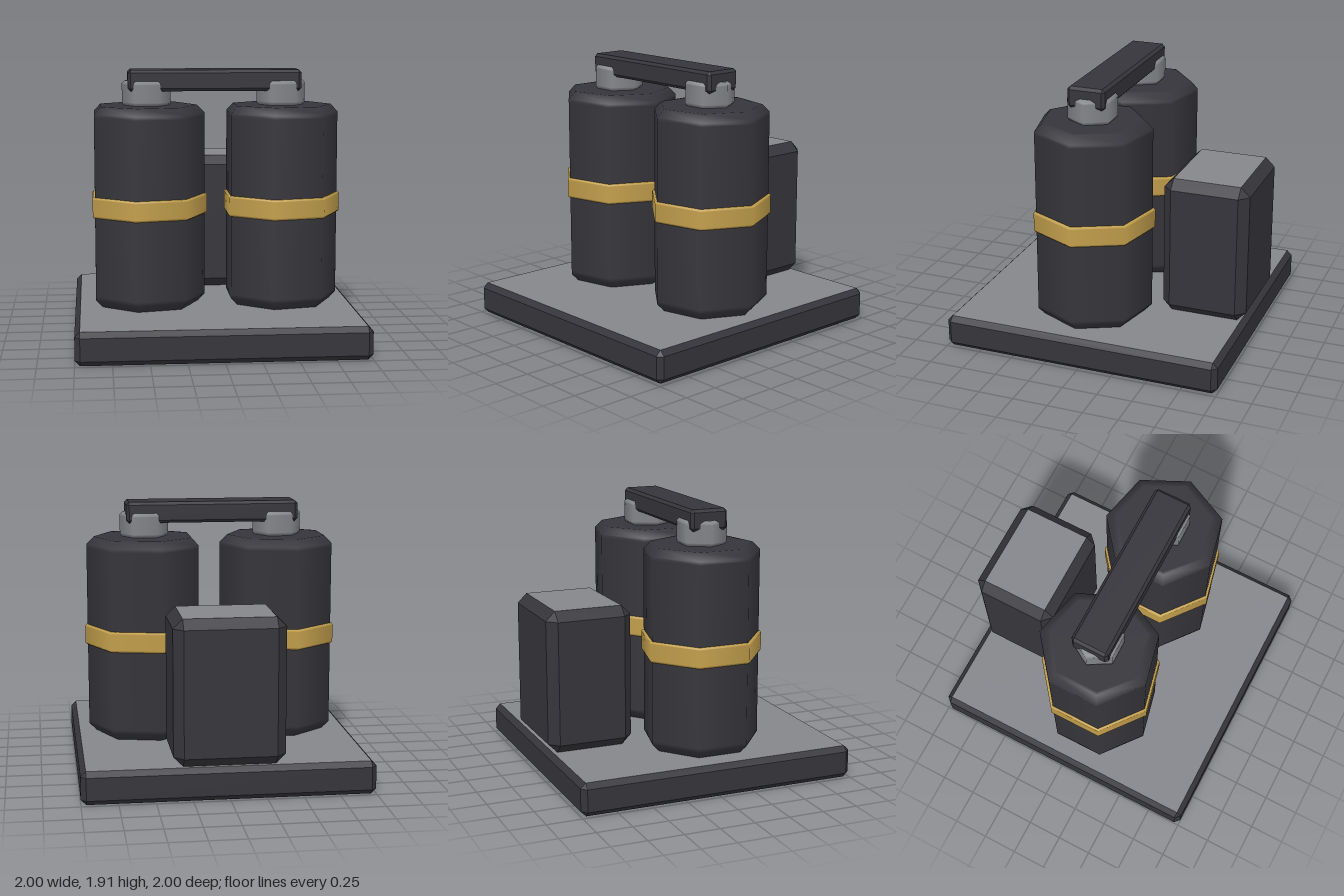
import * as THREE from 'three';
import { ConvexGeometry } from 'three/addons/geometries/ConvexGeometry.js';

const mat = (name, color) => {
  const m = new THREE.MeshStandardMaterial({ color });
  m.name = name;
  return m;
};

// Box with chamfered edges; materials are given for [top, sides and chamfers, bottom]
function chamferBox(name, min, max, c, materials) {
  const centre = min.map((v, i) => (v + max[i]) / 2);
  const half = min.map((v, i) => (max[i] - v) / 2);
  const points = [];
  for (const sx of [-1, 1]) for (const sy of [-1, 1]) for (const sz of [-1, 1])
    for (let axis = 0; axis < 3; axis++) {
      const p = [sx, sy, sz].map((s, i) => s * (half[i] - (i === axis ? 0 : c)));
      points.push(new THREE.Vector3(...p));
    }
  const hull = new ConvexGeometry(points);
  const pos = hull.attributes.position, nor = hull.attributes.normal;

  // Sort the triangles by the direction they face
  const buckets = [[], [], []];
  for (let i = 0; i < pos.count; i += 3) {
    const ny = nor.getY(i);
    const k = ny > 0.99 ? 0 : ny < -0.99 ? 2 : 1;
    for (let j = i; j < i + 3; j++) buckets[k].push(pos.getX(j), pos.getY(j), pos.getZ(j));
  }
  const geo = new THREE.BufferGeometry();
  geo.setAttribute('position', new THREE.Float32BufferAttribute(buckets.flat(), 3));
  let start = 0;
  buckets.forEach((b, k) => {
    geo.addGroup(start, b.length / 3, k);
    start += b.length / 3;
  });
  geo.computeVertexNormals();
  const mesh = new THREE.Mesh(geo, materials);
  mesh.name = name;
  mesh.position.set(...centre);
  return mesh;
}

// Smooth turned part with few sides and one corner pointing along +x
function turned(name, profile, sides, material) {
  const points = profile.map(p => new THREE.Vector2(...p));
  const mesh = new THREE.Mesh(new THREE.LatheGeometry(points, sides, Math.PI / 2), material);
  mesh.name = name;
  return mesh;
}

// Closed profile with chamfered rims and narrow loops that keep the flats flat
const drum = (r, y0, y1, c, s) => [
  [0, y0], [r - c - s, y0], [r - c, y0], [r, y0 + c], [r, y0 + c + s],
  [r, y1 - c - s], [r, y1 - c], [r - c, y1], [r - c - s, y1], [0, y1],
];

export function createModel() {
  const dark = mat('dark metal', 0x36353b);
  const grey = mat('grey metal', 0x85868b);
  const gold = mat('gold', 0xc39f4c);

  const model = new THREE.Group();
  model.name = 'twinTankUnit';

  // Base plate and the cabinet at the back
  model.add(chamferBox('basePlate', [-1, 0, -1], [1, 0.23, 1], 0.036, [grey, dark, grey]));
  model.add(chamferBox('cabinet', [-0.38, 0.23, -1], [0.38, 1.232, -0.387], 0.066, [grey, dark, grey]));

  // Two seven-sided tanks, each with a band and a six-sided cap
  for (const [side, x] of [['left', 0.48], ['right', -0.48]]) {
    const tank = new THREE.Group();
    tank.name = side + 'Tank';
    tank.position.set(x, 0, 0.075);
    tank.add(turned('tankBody', drum(0.413, 0.23, 1.655, 0.053, 0.025), 7, dark));
    tank.add(turned('tankBand', drum(0.431, 0.875, 1.02, 0.009, 0.006), 7, gold));
    tank.add(turned('tankCap', drum(0.173, 1.65, 1.83, 0.018, 0.01), 6, grey));
    model.add(tank);
  }

  // Bar joining the two caps
  model.add(chamferBox('crossBar', [-0.613, 1.758, -0.06], [0.613, 1.907, 0.21], 0.02, [dark, dark, dark]));
  return model;
}
